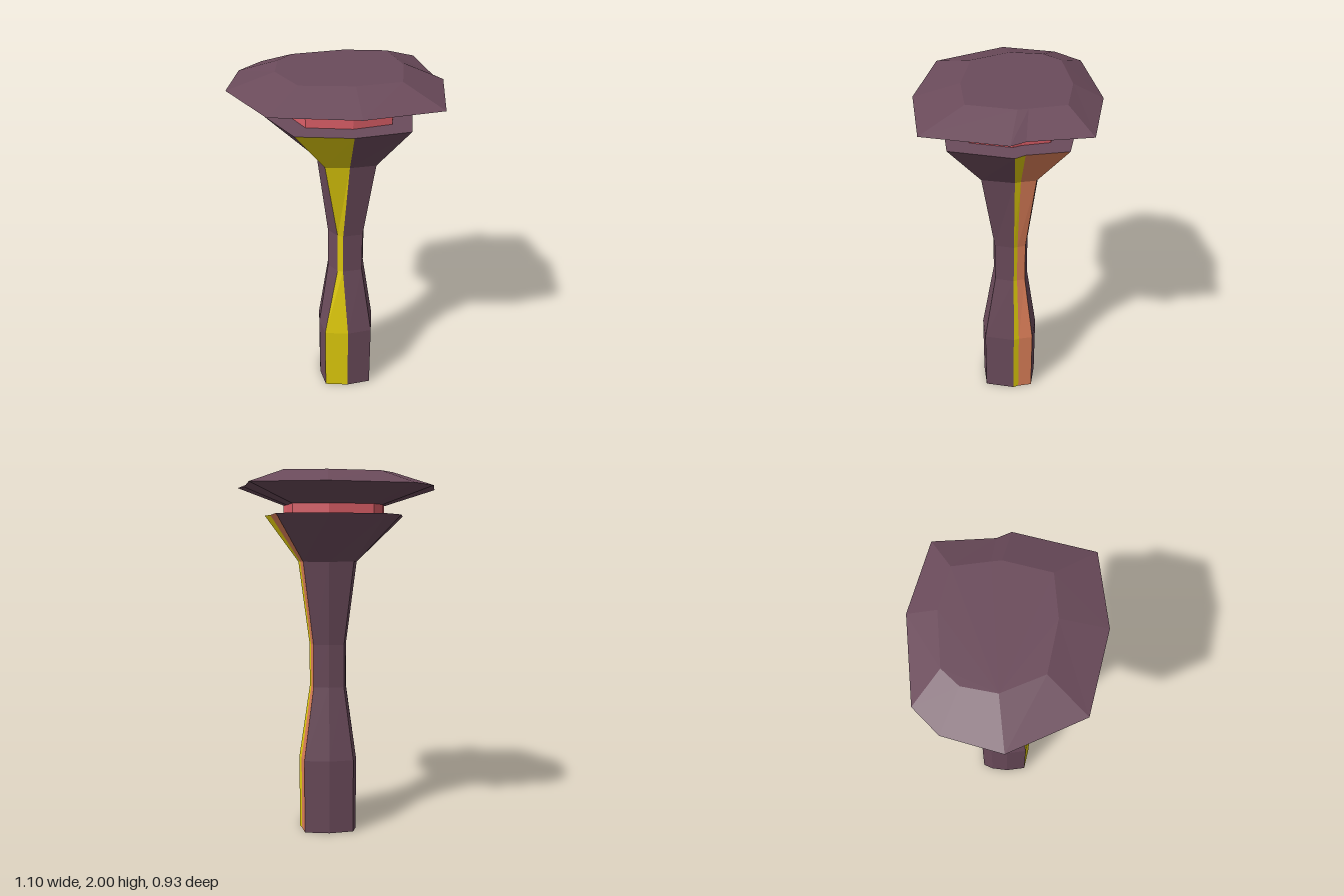
import * as THREE from 'three';

// Ten-sided rings, listed left -> front -> right -> back, as [x, z]
const foot = [[-0.105, 0.01], [-0.08, 0.13], [0.055, 0.15], [0.195, 0.13], [0.222, -0.04],
  [0.21, -0.07], [0.195, -0.15], [0.055, -0.17], [-0.08, -0.15], [-0.1, -0.09]];
const waist = [[-0.048, 0], [0, 0.068], [0.03, 0.08], [0.14, 0.068], [0.16, -0.037],
  [0.152, -0.056], [0.14, -0.1], [0.055, -0.112], [-0.03, -0.1], [-0.043, -0.06]];
const shoulder = [[-0.105, 0.01], [-0.072, 0.13], [0.055, 0.145], [0.195, 0.13], [0.22, -0.04],
  [0.21, -0.07], [0.195, -0.15], [0.055, -0.17], [-0.08, -0.15], [-0.1, -0.09]];
const flare = [[-0.37, 0.02], [-0.23, 0.28], [0.055, 0.325], [0.34, 0.28], [0.402, -0.04],
  [0.37, -0.09], [0.335, -0.3], [0.055, -0.35], [-0.24, -0.3], [-0.33, -0.19]];
const neck = [[-0.26, 0], [-0.17, 0.18], [0.06, 0.22], [0.26, 0.18], [0.3, -0.03],
  [0.28, -0.07], [0.25, -0.21], [0.06, -0.25], [-0.18, -0.21], [-0.235, -0.14]];
const rim = [[-0.55, 0.035], [-0.355, 0.385], [0.075, 0.46], [0.47, 0.39], [0.548, -0.02],
  [0.508, -0.09], [0.465, -0.395], [0.075, -0.465], [-0.37, -0.385], [-0.49, -0.25]];
const crown = [[-0.305, -0.01], [-0.2, 0.19], [0.07, 0.225], [0.3, 0.19], [0.345, -0.05],
  [0.335, -0.1], [0.295, -0.28], [0.07, -0.315], [-0.21, -0.27], [-0.285, -0.18]];

// Skins a stack of [y, ring] levels, closed at both ends; pick(side) gives the material index
function loft(levels, pick = () => 0) {
  const buckets = [[], [], []];
  const n = levels[0][1].length;
  const point = (l, i) => [levels[l][1][i % n][0], levels[l][0], levels[l][1][i % n][1]];
  for (let l = 0; l < levels.length - 1; l++) {
    for (let i = 0; i < n; i++) {
      const a = point(l, i), b = point(l, i + 1), c = point(l + 1, i + 1), d = point(l + 1, i);
      buckets[pick(i)].push(...a, ...b, ...c, ...a, ...c, ...d);
    }
  }
  const top = levels.length - 1;
  for (let i = 1; i < n - 1; i++) {
    buckets[0].push(...point(0, 0), ...point(0, i + 1), ...point(0, i));
    buckets[0].push(...point(top, 0), ...point(top, i), ...point(top, i + 1));
  }
  const geometry = new THREE.BufferGeometry();
  geometry.setAttribute('position', new THREE.Float32BufferAttribute(buckets.flat(), 3));
  let start = 0;
  buckets.forEach((bucket, index) => {
    if (bucket.length) geometry.addGroup(start, bucket.length / 3, index);
    start += bucket.length / 3;
  });
  geometry.computeVertexNormals();
  return geometry;
}

function paint(name, color) {
  const material = new THREE.MeshStandardMaterial({ color });
  material.name = name;
  return material;
}

export function createModel() {
  const plum = paint('plum', 0x6b4b5b);
  const yellow = paint('yellow', 0xe0cb0c);
  const orange = paint('orange', 0xde805a);
  const red = paint('red', 0xdc5f68);
  const group = new THREE.Group();
  const add = (name, geometry, material) => {
    const mesh = new THREE.Mesh(geometry, material);
    mesh.name = name;
    group.add(mesh);
  };

  // Stem with a narrow waist and flared head; stripes run up sides 1, 4 and 5
  const stripes = { 1: 1, 4: 1, 5: 2 };
  add('stem', loft([[0, foot], [0.42, foot], [0.83, waist], [1.07, waist],
    [1.53, shoulder], [1.78, flare]], (side) => stripes[side] || 0), [plum, yellow, orange]);

  // Recessed collar between stem and cap
  add('collar', loft([[1.775, neck], [1.84, neck]]), [red]);

  // Wide cap with a sharp rim
  add('cap', loft([[1.835, neck], [1.928, rim], [2, crown]]), [plum]);
  return group;
}
